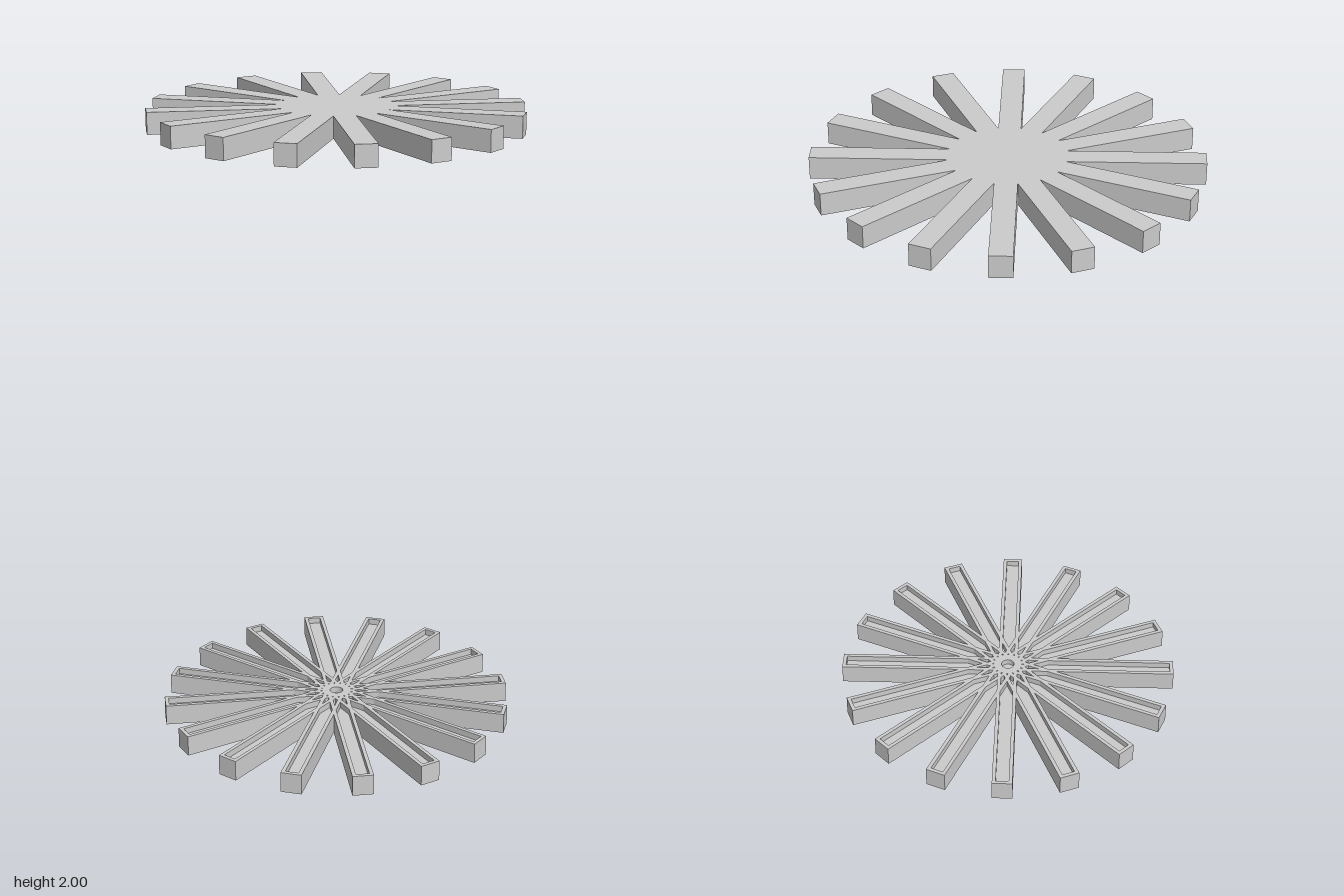
import * as THREE from 'three';

const LENGTH = 1.125, SIZE = 0.066, RIM = 0.012, GROOVE = 0.02, BARS = 8;

// Rectangle path centred on the origin
function rect(path, w, h) {
  path.moveTo(-w / 2, -h / 2);
  path.lineTo(w / 2, -h / 2);
  path.lineTo(w / 2, h / 2);
  path.lineTo(-w / 2, h / 2);
  path.closePath();
  return path;
}

export function createModel() {
  const model = new THREE.Group();
  const material = new THREE.MeshStandardMaterial({ color: 0xcccccc, flatShading: true });

  // Solid lower body of a bar, spanning the full diameter
  const base = new THREE.BoxGeometry(LENGTH, SIZE - GROOVE, SIZE);
  base.translate(0, (SIZE - GROOVE) / 2, 0);

  // Raised rim that encloses the groove on the inner side of a bar
  const outline = rect(new THREE.Shape(), LENGTH, SIZE);
  outline.holes.push(rect(new THREE.Path(), LENGTH - 2 * RIM, SIZE - 2 * RIM));
  const rim = new THREE.ExtrudeGeometry(outline, { depth: GROOVE, bevelEnabled: false });
  rim.rotateX(-Math.PI / 2);
  rim.translate(0, SIZE - GROOVE, 0);

  // Star of eight crossing bars, giving sixteen spokes
  function star(name) {
    const group = new THREE.Group();
    group.name = name;
    for (let i = 0; i < BARS; i++) {
      const bar = new THREE.Group();
      bar.name = 'spokeBar';
      const body = new THREE.Mesh(base, material);
      body.name = 'barBody';
      const edge = new THREE.Mesh(rim, material);
      edge.name = 'barRim';
      bar.add(body, edge);
      bar.rotation.y = (i * Math.PI) / BARS;
      group.add(bar);
    }
    model.add(group);
    return group;
  }

  star('bottomStar');

  // The top star is turned over so its grooves face down
  const top = star('topStar');
  top.rotation.x = Math.PI;
  top.position.y = 2;

  return model;
}
